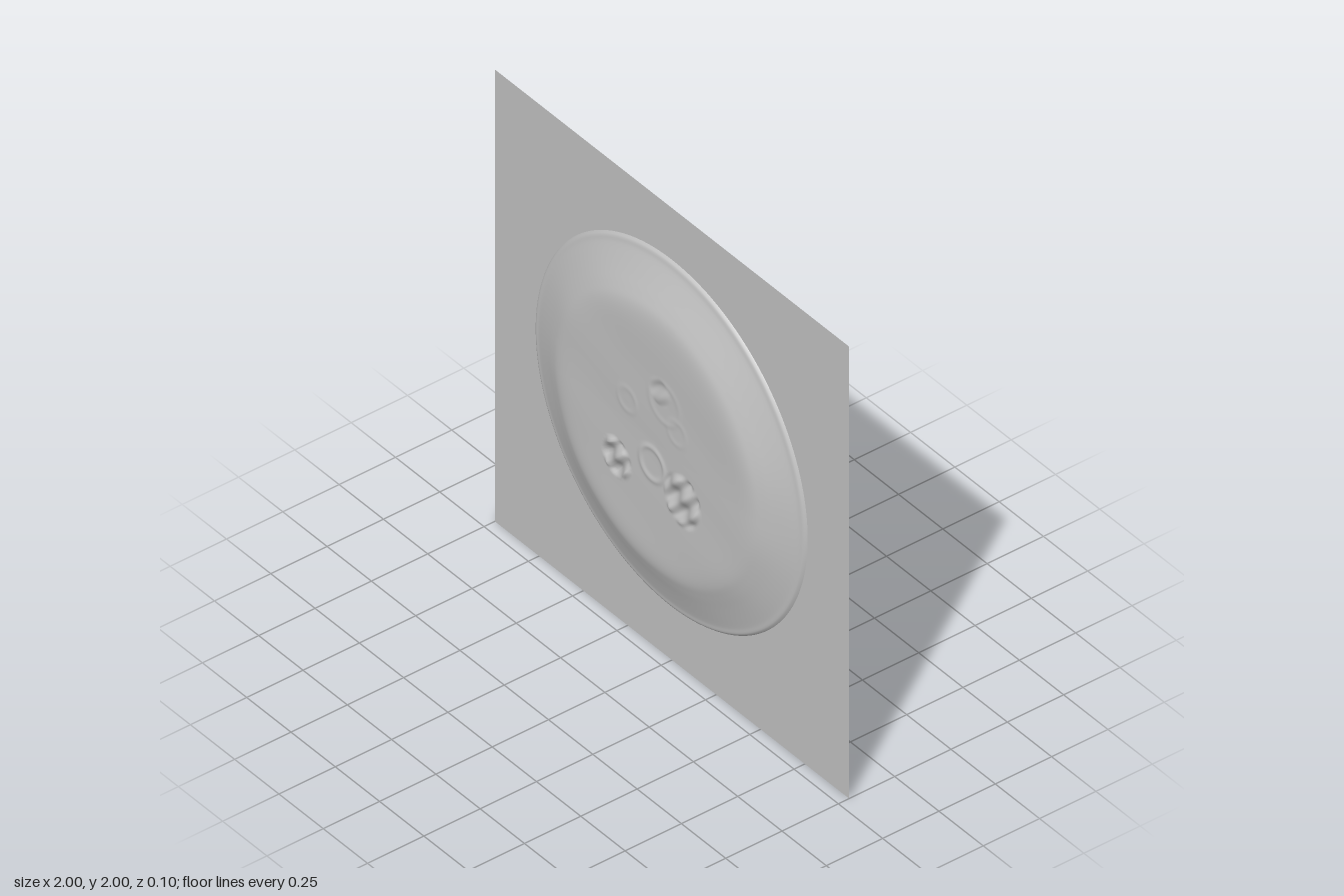
import * as THREE from 'three';

const CENTER_Y = 1.005, RADIUS = 0.766, BACK = -0.048;

// Dish profile: radius, z
const PROFILE = [
  [0, 0.031], [0.3, 0.032], [0.46, 0.033], [0.52, 0.031], [0.56, 0.025], [0.6, 0.012],
  [0.65, -0.006], [0.7, -0.023], [0.735, -0.034], [0.758, -0.039], [RADIUS, BACK],
];

// Smooth interpolation of the profile
function profileZ(r) {
  let i = 0;
  while (i < PROFILE.length - 2 && r > PROFILE[i + 1][0]) i++;
  const slope = (k) => {
    const a = PROFILE[Math.max(0, k - 1)], b = PROFILE[Math.min(PROFILE.length - 1, k + 1)];
    return (b[1] - a[1]) / (b[0] - a[0]);
  };
  const [r0, z0] = PROFILE[i], [r1, z1] = PROFILE[i + 1];
  const h = r1 - r0, t = (r - r0) / h, t2 = t * t, t3 = t2 * t;
  return (2 * t3 - 3 * t2 + 1) * z0 + (t3 - 2 * t2 + t) * h * slope(i)
    + (3 * t2 - 2 * t3) * z1 + (t3 - t2) * h * slope(i + 1);
}

// Round spots stamped in the floor: rippled ones and faint rings
const RIPPLES = [
  { x: -0.21, y: 0.805, rx: 0.08, ry: 0.088, amp: 0.013 },
  { x: 0.16, y: 0.84, rx: 0.105, ry: 0.115, amp: 0.012 },
];
const RINGS = [
  { x: -0.01, y: 0.9, r: 0.068, amp: 0.004 },
  { x: -0.15, y: 1.1, r: 0.05, amp: 0.0015 },
  { x: 0.13, y: 1.12, r: 0.05, amp: 0.0012 },
  { x: 0.06, y: 1.21, r: 0.085, amp: 0.0015 },
];

function floorRelief(x, y) {
  let z = 0;
  for (const s of RIPPLES) {
    const dx = x - s.x, dy = y - s.y, d = Math.hypot(dx / s.rx, dy / s.ry);
    if (d < 1) {
      const u = (dx + dy) * 0.707, v = (dx - dy) * 0.707;
      const fade = Math.min(1, (1 - d) * 5);
      z += s.amp * fade * (0.75 * Math.cos(v * 90) + 0.5 * Math.sin(u * 45));
    }
  }
  for (const s of RINGS) {
    const d = Math.hypot(x - s.x, y - s.y) - s.r;
    z += s.amp * Math.exp(-((d / 0.012) ** 2));
  }
  // crescent dent inside the upper spot
  const c = Math.hypot(x - 0.035, y - 1.245);
  if (c < 0.06) z += 0.009 * (1 - (c / 0.06) ** 2) * Math.sin((x - 0.035 - (y - 1.245)) * 45);
  return z;
}

// Gentle hand-made unevenness, slightly higher toward the top
function waviness(x, y) {
  const dy = y - CENTER_Y;
  return 0.006 * Math.max(0, dy) / 0.5
    + 0.0012 * Math.sin(x * 11 + dy * 6) * Math.cos(dy * 13 - x * 4);
}

function dishGeometry(rings, segments) {
  const geo = new THREE.RingGeometry(0.0005, RADIUS, segments, rings);
  const p = geo.attributes.position;
  for (let i = 0; i < p.count; i++) {
    const x = p.getX(i), y = p.getY(i) + CENTER_Y;
    const r = Math.min(RADIUS, Math.hypot(x, p.getY(i)));
    const inner = THREE.MathUtils.smoothstep(RADIUS - r, 0, 0.22);
    p.setXYZ(i, x, y, profileZ(r) + inner * waviness(x, y) + floorRelief(x, y));
  }
  geo.computeVertexNormals();
  // match the normals on both sides of the angular seam
  const n = geo.attributes.normal, a = new THREE.Vector3(), b = new THREE.Vector3();
  for (let j = 0; j <= rings; j++) {
    const i0 = j * (segments + 1), i1 = i0 + segments;
    a.fromBufferAttribute(n, i0).add(b.fromBufferAttribute(n, i1)).normalize();
    n.setXYZ(i0, a.x, a.y, a.z);
    n.setXYZ(i1, a.x, a.y, a.z);
  }
  return geo;
}

export function createModel() {
  const group = new THREE.Group();
  group.name = 'dishRelief';
  const grey = new THREE.MeshStandardMaterial({ color: 0xc0c0c0, side: THREE.DoubleSide });
  grey.name = 'light grey';

  // Square backing sheet with a round opening
  const square = new THREE.Shape([
    new THREE.Vector2(-1, 0), new THREE.Vector2(1, 0),
    new THREE.Vector2(1, 2), new THREE.Vector2(-1, 2),
  ]);
  const hole = new THREE.Path();
  hole.absarc(0, CENTER_Y, RADIUS, 0, Math.PI * 2, true);
  square.holes.push(hole);
  const sheet = new THREE.Mesh(new THREE.ShapeGeometry(square, 96), grey);
  sheet.name = 'backingSheet';
  sheet.position.z = BACK;
  group.add(sheet);

  // Raised dish, hollow from behind
  const dish = new THREE.Mesh(dishGeometry(120, 192), grey);
  dish.name = 'dish';
  group.add(dish);

  return group;
}
